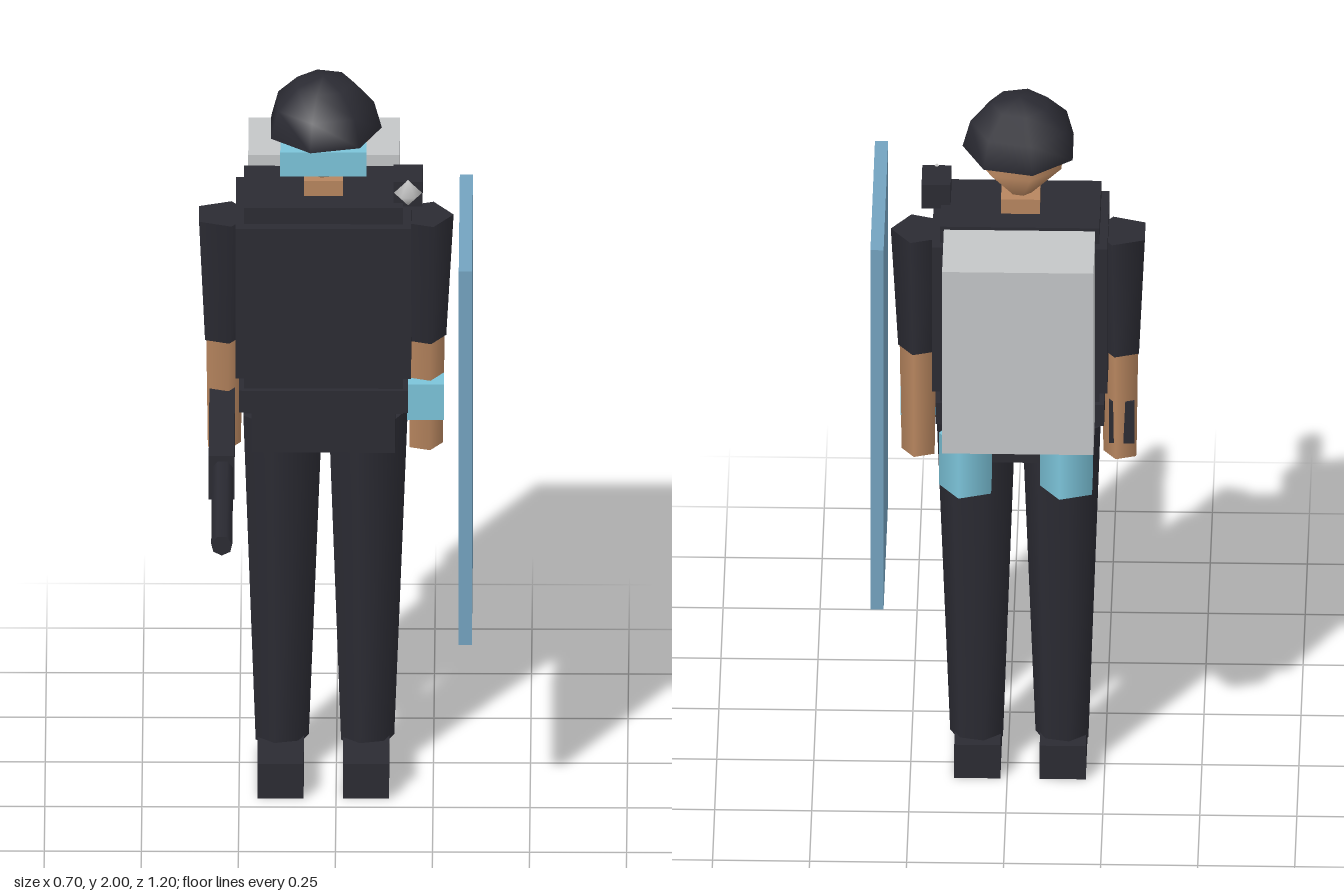
import * as THREE from 'three';

const mat = (name, color) => {
  const m = new THREE.MeshStandardMaterial({ color });
  m.name = name;
  return m;
};

export function createModel() {
  const dark = mat('dark uniform', 0x2b2b33);
  const skin = mat('skin', 0xb8865f);
  const cyan = mat('pale cyan', 0x7cc4da);
  const blue = mat('shield blue', 0x74a3c0);
  const grey = mat('light grey', 0xc4c6c8);
  const silver = mat('silver', 0xc8c8c8);
  const shell = mat('helmet dark', 0x2b2b33);
  shell.side = THREE.DoubleSide;

  const model = new THREE.Group();
  model.name = 'shieldBearer';
  const CX = -0.033, CZ = -0.236; // centre line of the body

  const add = (name, geo, material, x, y, z) => {
    const mesh = new THREE.Mesh(geo, material);
    mesh.name = name;
    mesh.position.set(x, y, z);
    model.add(mesh);
    return mesh;
  };
  // Box given by its centre in x and z, and its bottom and top
  const box = (name, material, x, z, w, d, y0, y1) =>
    add(name, new THREE.BoxGeometry(w, y1 - y0, d), material, x, (y0 + y1) / 2, z);
  // Upright prism with one corner towards +x
  const limb = (name, material, x, z, rTop, rBottom, y0, y1, sides) =>
    add(name, new THREE.CylinderGeometry(rTop, rBottom, y1 - y0, sides).rotateY(Math.PI / 2),
      material, x, (y0 + y1) / 2, z);

  // Torso
  box('shirt', dark, CX, CZ, 0.41, 0.236, 1.08, 1.677);
  box('vest', dark, CX, CZ, 0.452, 0.29, 1.196, 1.63);
  box('belt', dark, CX, CZ, 0.435, 0.262, 1.09, 1.153);
  box('pelvis', dark, CX, CZ, 0.37, 0.22, 0.963, 1.1);

  // Head
  box('neck', skin, CX, CZ, 0.1, 0.1, 1.64, 1.72);
  const headGeo = new THREE.SphereGeometry(0.118, 7, 2).rotateY(Math.PI).scale(1, 1.1, 1);
  add('head', headGeo, skin, CX, 1.815, CZ);
  const helmetGeo = new THREE.SphereGeometry(0.15, 7, 3, 0, Math.PI * 2, 0, Math.PI / 2).rotateY(Math.PI);
  add('helmet', helmetGeo, shell, CX, 1.85, CZ);
  box('goggles', cyan, CX, -0.13, 0.222, 0.07, 1.78, 1.85);

  // Arms and legs
  for (const [side, s] of [['left', 1], ['right', -1]]) {
    const armX = CX + s * 0.26;
    limb(side + 'Sleeve', dark, armX, CZ, 0.075, 0.056, 1.249, 1.598, 5);
    limb(side + 'Forearm', skin, armX, CZ, 0.052, 0.047, 0.937, 1.25, 5);
    const legX = CX + s * 0.11;
    limb(side + 'Leg', dark, legX, CZ, 0.107, 0.072, 0.09, 1.037, 7);
    box(side + 'Boot', dark, legX, -0.189, 0.119, 0.28, 0, 0.1);
    limb(side + 'Canister', cyan, CX + s * 0.13, -0.517, 0.075, 0.075, 1.0, 1.155, 5);
  }
  box('wristDevice', cyan, 0.23, -0.202, 0.095, 0.07, 1.037, 1.14);

  // Shoulder lamp
  box('lampHousing', dark, 0.185, -0.197, 0.075, 0.098, 1.666, 1.737);
  add('lamp', new THREE.SphereGeometry(0.037, 6, 2), silver, 0.185, 1.706, -0.149);

  // Backpack
  box('backpack', grey, CX, -0.495, 0.39, 0.21, 1.143, 1.69);

  // Shield
  box('shield', blue, 0.334, -0.126, 0.034, 0.542, 0.547, 1.63);

  // Gun
  box('gunBody', dark, -0.294, -0.05, 0.066, 0.45, 0.982, 1.108);
  add('gunBarrel', new THREE.CylinderGeometry(0.028, 0.028, 0.44, 7).rotateX(Math.PI / 2),
    dark, -0.291, 1.068, 0.38);

  return model;
}
